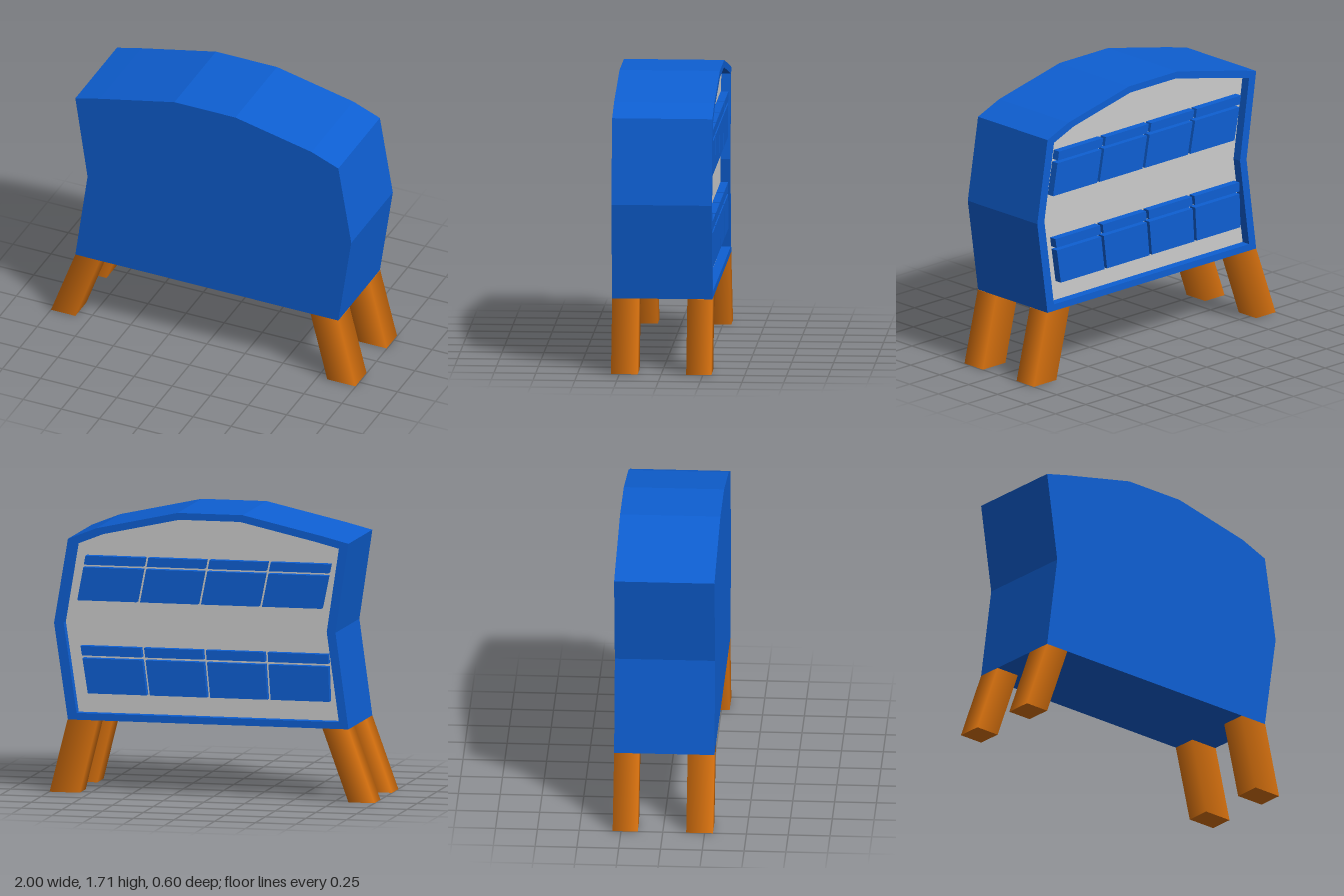
import * as THREE from 'three';

const blue = new THREE.MeshStandardMaterial({ color: 0x0e5fd2 });
const orange = new THREE.MeshStandardMaterial({ color: 0xd9720f });
const grey = new THREE.MeshStandardMaterial({ color: 0xcccccc });

const BACK = -0.3, FRONT = 0.3, RECESS = 0.06, LEG_TOP = 0.44;

// Cabinet outline, counter-clockwise seen from the front
const outline = [
  [-0.84, 0.44], [0.885, 0.44], [0.97, 1.02], [0.885, 1.53], [0.71, 1.6],
  [0.21, 1.71], [-0.19, 1.71], [-0.68, 1.6], [-0.84, 1.56], [-0.76, 1.02],
].map(([x, y]) => new THREE.Vector2(x, y));

// The same outline shrunk around its middle, for the rim opening
const centre = new THREE.Vector2(0.065, 1.075);
const opening = outline.map((p) => p.clone().sub(centre).multiplyScalar(0.935).add(centre));

function slab(name, shape, z0, z1, material) {
  const geometry = new THREE.ExtrudeGeometry(shape, { depth: z1 - z0, bevelEnabled: false });
  geometry.translate(0, 0, z0);
  const mesh = new THREE.Mesh(geometry, material);
  mesh.name = name;
  return mesh;
}

// Square leg with soft shading, sheared sideways towards the floor
function leg(name, topX, footX, width, z0, z1) {
  const geometry = new THREE.CylinderGeometry(Math.SQRT1_2, Math.SQRT1_2, 1, 4);
  geometry.rotateY(Math.PI / 4);
  geometry.scale(width, LEG_TOP, z1 - z0);
  const slope = (topX - footX) / LEG_TOP;
  geometry.applyMatrix4(new THREE.Matrix4().set(
    1, slope, 0, (topX + footX) / 2,
    0, 1, 0, LEG_TOP / 2,
    0, 0, 1, (z0 + z1) / 2,
    0, 0, 0, 1));
  const mesh = new THREE.Mesh(geometry, orange);
  mesh.name = name;
  return mesh;
}

// Row of four compartments whose ends slant with the cabinet sides
function compartmentRow(name, top, bottom) {
  const row = new THREE.Group();
  row.name = name;
  const lerp = THREE.MathUtils.lerp;
  const point = (u, v) => new THREE.Vector2(
    lerp(lerp(top.x0, top.x1, u), lerp(bottom.x0, bottom.x1, u), v),
    lerp(top.y, bottom.y, v));
  const gap = 0.007;
  for (let i = 0; i < 4; i++) {
    const u0 = i / 4 + (i > 0 ? gap : 0);
    const u1 = (i + 1) / 4 - (i < 3 ? gap : 0);
    for (const [part, v0, v1] of [['compartmentLip', 0, 0.2], ['compartmentDoor', 0.26, 1]]) {
      const shape = new THREE.Shape([point(u0, v1), point(u1, v1), point(u1, v0), point(u0, v0)]);
      row.add(slab(part, shape, BACK + 0.01, BACK + RECESS, blue));
    }
  }
  return row;
}

export function createModel() {
  const model = new THREE.Group();
  model.name = 'cabinet';

  // Cabinet body with a raised rim around the back
  model.add(slab('body', new THREE.Shape(outline), BACK + RECESS, FRONT, blue));
  const rim = new THREE.Shape(outline);
  rim.holes.push(new THREE.Path(opening));
  model.add(slab('backRim', rim, BACK, BACK + RECESS, blue));
  model.add(slab('backPanel', new THREE.Shape(opening), BACK + RECESS - 0.004, BACK + RECESS, grey));

  // Two rows of compartments on the back panel
  model.add(compartmentRow('upperCompartments',
    { x0: -0.725, x1: 0.78, y: 1.43 }, { x0: -0.67, x1: 0.83, y: 1.16 }));
  model.add(compartmentRow('lowerCompartments',
    { x0: -0.71, x1: 0.81, y: 0.885 }, { x0: -0.72, x1: 0.765, y: 0.6 }));

  // Splayed legs
  for (const [end, z0, z1] of [['front', 0.14, FRONT], ['back', BACK, -0.15]]) {
    model.add(leg(end + 'RightLeg', -0.76, -0.92, 0.16, z0, z1));
    model.add(leg(end + 'LeftLeg', 0.795, 0.905, 0.185, z0, z1));
  }
  return model;
}
